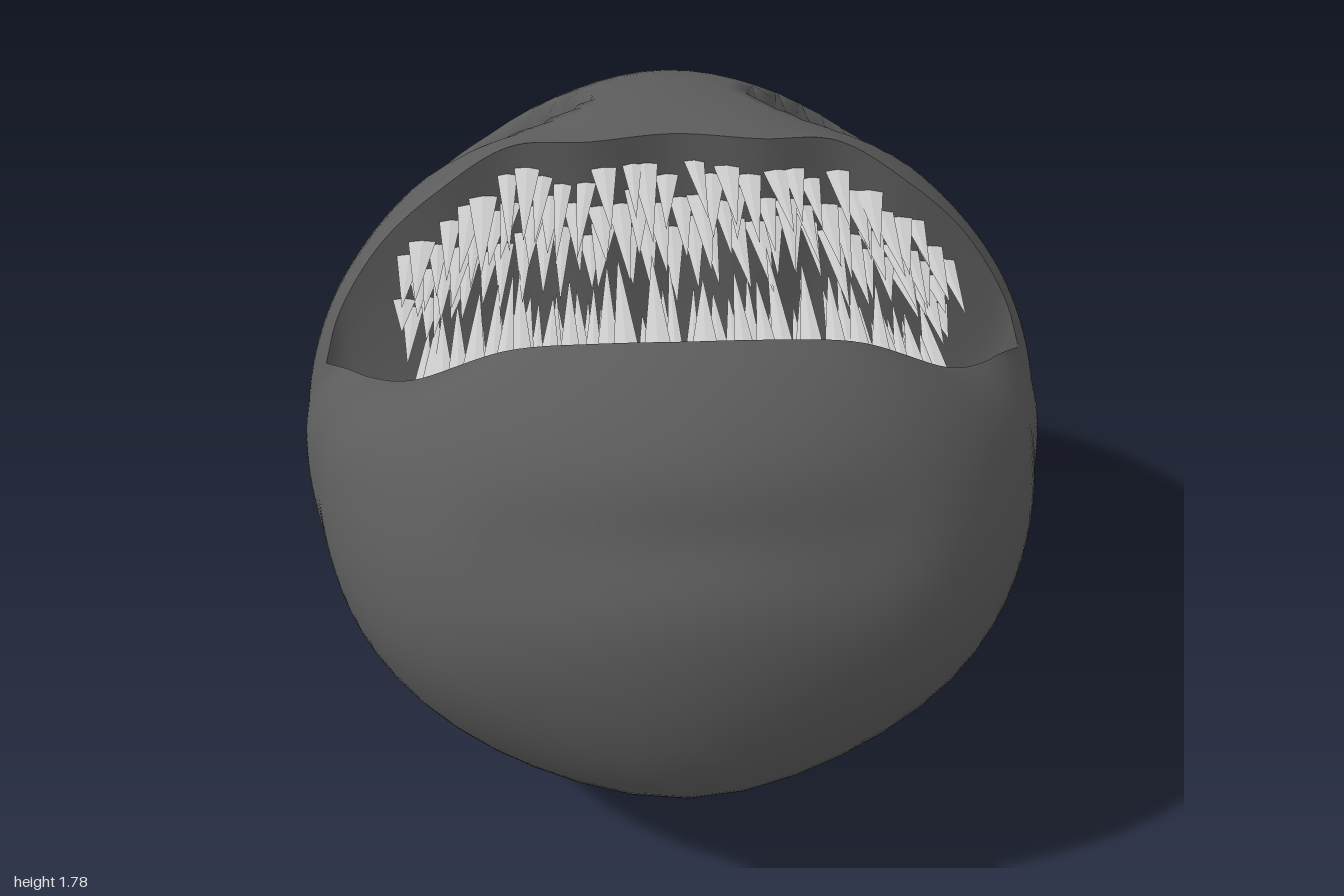
import * as THREE from 'three';
import { mergeGeometries } from 'three/addons/utils/BufferGeometryUtils.js';

const V = (x, y, z) => new THREE.Vector3(x, y, z);
const CENTRE = V(0, 0.905, 0);
const POLE = V(0, -0.9, -0.43).normalize();
const smooth = THREE.MathUtils.smoothstep;

const paint = (color, extra = {}) => new THREE.MeshStandardMaterial({ color, ...extra });

// Small seeded random numbers for the ragged teeth
let seed = 7;
const rand = () => (seed = (seed * 16807) % 2147483647) / 2147483647;

// Lip curve mirrored from its +x half, running from the +x corner to the -x corner
function lipCurve(half) {
  const mirrored = half.slice(0, -1).reverse().map(([x, y, z]) => [-x, y, z]);
  return new THREE.CatmullRomCurve3([...half, ...mirrored].map((p) => V(...p)));
}
const upperLip = lipCurve([
  [0.86, 1.2, 0.07], [0.82, 1.32, 0.04], [0.7, 1.51, 0.03], [0.55, 1.65, 0.03],
  [0.38, 1.75, 0.01], [0.2, 1.77, 0.035], [0, 1.775, 0.01],
]);
const lowerLip = lipCurve([
  [0.86, 1.2, 0.07], [0.8, 1.23, 0.14], [0.72, 1.29, 0.27], [0.6, 1.39, 0.43],
  [0.37, 1.55, 0.56], [0.18, 1.59, 0.605], [0, 1.6, 0.62],
]);

// Closed mouth rim: along the upper lip, back along the lower lip
function mouthRim() {
  const rim = [];
  for (let i = 0; i < 80; i++) rim.push(upperLip.getPointAt(i / 80));
  for (let i = 0; i < 64; i++) rim.push(lowerLip.getPointAt(1 - i / 64));
  return rim;
}

// Skin over rows of closed loops, ordered from the inside of the mouth outwards
function loft(rows) {
  const n = rows[0].length;
  const index = [];
  for (let i = 0; i < rows.length - 1; i++) {
    for (let j = 0; j < n; j++) {
      const k = (j + 1) % n;
      const a = i * n + j, b = a + n, c = (i + 1) * n + k, d = i * n + k;
      index.push(a, b, c, a, c, d);
    }
  }
  const g = new THREE.BufferGeometry().setFromPoints(rows.flat());
  g.setIndex(index);
  g.computeVertexNormals();
  return g;
}

// Swellings and hollows of the body: direction (mirrored in x), height, angular width
const BUMPS = [
  [V(0, -0.9, 0.42), -0.042, 0.35], // flat under the chin
  [V(0, -0.36, 0.93), 0.03, 0.3], // chin
  [V(0, 0.84, -0.54), 0.045, 0.35], // forehead
  [V(0.6, 0, 0.8), 0.035, 0.3], // cheeks
  [V(0.87, -0.49, -0.1), 0.02, 0.3], // lower flanks
  [V(0.86, 0, -0.5), 0.02, 0.3], // rear flanks
  [V(0.93, 0.2, 0.25), -0.025, 0.2], // hollow behind the jaw
  [V(0.93, -0.1, 0.3), -0.02, 0.2],
  [V(0, 0.38, 0.92), -0.03, 0.1], // groove under the lower lip
  [V(0.18, 0.37, 0.91), -0.025, 0.12],
  [V(0.36, 0.34, 0.87), -0.02, 0.12],
].map(([d, height, width]) => ({ d: d.normalize(), height, width }));

// Radius of the tilted ellipsoid body in a given direction
function bodyRadius(d) {
  const c = Math.cos(0.35), s = Math.sin(0.35);
  const u = d.z * c + d.y * s, v = d.y * c - d.z * s;
  let r = 1 / Math.hypot(d.x / 0.95, u / 1.01, v / 0.89);
  const half = V(Math.abs(d.x), d.y, d.z);
  for (const b of BUMPS) r += b.height * Math.exp(-((half.angleTo(b.d) / b.width) ** 2));
  return r;
}

// Push the skin inwards in an almond around each eye
function carveSockets(p) {
  if (p.y < 1.15) return p;
  const side = Math.sign(p.x), x = (Math.abs(p.x) - 0.445) / 0.24;
  const halfWidth = 0.15 * (1 - 0.4 * Math.min(1, x * x));
  const q = Math.hypot(x, (p.z + 0.28 + x * 0.03) / halfWidth);
  const m = 1 - smooth(q, 0.55, 1.1);
  p.x -= side * 0.09 * m;
  p.y -= 0.17 * m;
  return p;
}

function bodyGeometry(rim) {
  const rows = [];
  const COUNT = 80;
  for (let i = 0; i <= COUNT; i++) {
    const s = i / COUNT;
    rows.push(rim.map((r) => {
      const from = r.clone().sub(CENTRE);
      const length = from.length();
      from.normalize();
      const ratio = length / bodyRadius(from);
      const angle = from.angleTo(POLE);
      const d = from.clone().multiplyScalar(Math.sin((1 - s) * angle))
        .addScaledVector(POLE, Math.sin(s * angle)).normalize();
      const blend = Math.min(1, s * 5.5);
      const k = THREE.MathUtils.lerp(ratio, 1, blend * (2 - blend));
      return carveSockets(d.multiplyScalar(bodyRadius(d) * k).add(CENTRE));
    }));
  }
  return loft(rows);
}

// Bowl hanging inside the rim
function mouthGeometry(rim) {
  const rows = [];
  const floor = V(0, 0.88, 0.3);
  for (let i = 16; i >= 0; i--) {
    const a = (i / 16) * Math.PI / 2;
    const h = Math.pow(Math.max(0, Math.cos(a)), 0.65), v = Math.sin(a);
    rows.push(rim.map((r) => V(
      floor.x + (r.x - floor.x) * h,
      r.y + (floor.y - r.y) * v,
      floor.z + (r.z - floor.z) * h,
    )));
  }
  return loft(rows);
}

// Three staggered rows of flat pointed teeth; dir is +1 (forward) or -1 (backward)
function teethGeometry(lip, dir, count, start) {
  const teeth = [];
  for (let row = 0; row < 3; row++) {
    for (let i = 0; i < count; i++) {
      const u = start + (1 - 2 * start) * (i + 0.5 * (row % 2) + rand() * 0.5) / count;
      const p = lip.getPointAt(u);
      const middle = Math.min(1, 1.7 * (1 - Math.abs(2 * u - 1)));
      const length = 0.05 + 0.2 * middle + rand() * 0.12;
      const g = new THREE.ConeGeometry(0.5, 1, 4);
      g.translate(0, 0.5, 0);
      g.rotateX(Math.PI / 2);
      g.scale(0.045 + rand() * 0.025, 0.008, length);
      if (dir < 0) g.rotateY(Math.PI);
      g.rotateX(dir > 0 ? (rand() - 0.5) * 0.06 : 0.22 + rand() * 0.08);
      g.rotateY((rand() - 0.5) * 0.12);
      g.translate(p.x * 0.95, p.y - 0.06 - row * 0.07 - rand() * 0.05, p.z - (dir > 0 ? 0.01 : 0.01 + rand() * 0.04));
      teeth.push(g);
    }
  }
  return mergeGeometries(teeth);
}

// Dark eyeball with a domed red iris and a six-sided pupil on top
function makeEye(side) {
  const eye = new THREE.Group();
  eye.name = side > 0 ? 'leftEye' : 'rightEye';
  const add = (name, geometry, color, x, y) => {
    const m = new THREE.Mesh(geometry, paint(color));
    m.name = name;
    m.position.set(side * x, y, -0.275);
    eye.add(m);
    return m;
  };
  const ball = add('eyeball', new THREE.SphereGeometry(1, 24, 16), 0x0c0c0c, 0.435, 1.435);
  ball.scale.set(0.165, 0.15, 0.115);
  add('iris', new THREE.SphereGeometry(0.13, 12, 5, 0, Math.PI * 2, 0, 0.77), 0xff1010, 0.387, 1.475);
  add('pupil', new THREE.CylinderGeometry(0.045, 0.045, 0.012, 6), 0x0c0c0c, 0.383, 1.6);
  return eye;
}

export function createModel() {
  const model = new THREE.Group();
  model.name = 'toothyBall';
  const add = (name, geometry, material) => {
    const m = new THREE.Mesh(geometry, material);
    m.name = name;
    model.add(m);
  };
  const rim = mouthRim();
  const skin = paint(0x5c5c5c, { side: THREE.DoubleSide });
  add('body', bodyGeometry(rim), skin);
  add('mouthLining', mouthGeometry(rim), skin);

  const enamel = paint(0xcccccc, { flatShading: true });
  add('upperTeeth', teethGeometry(upperLip, 1, 30, 0.16), enamel);
  add('lowerTeeth', teethGeometry(lowerLip, -1, 30, 0.17), enamel);

  model.add(makeEye(1), makeEye(-1));
  return model;
}
